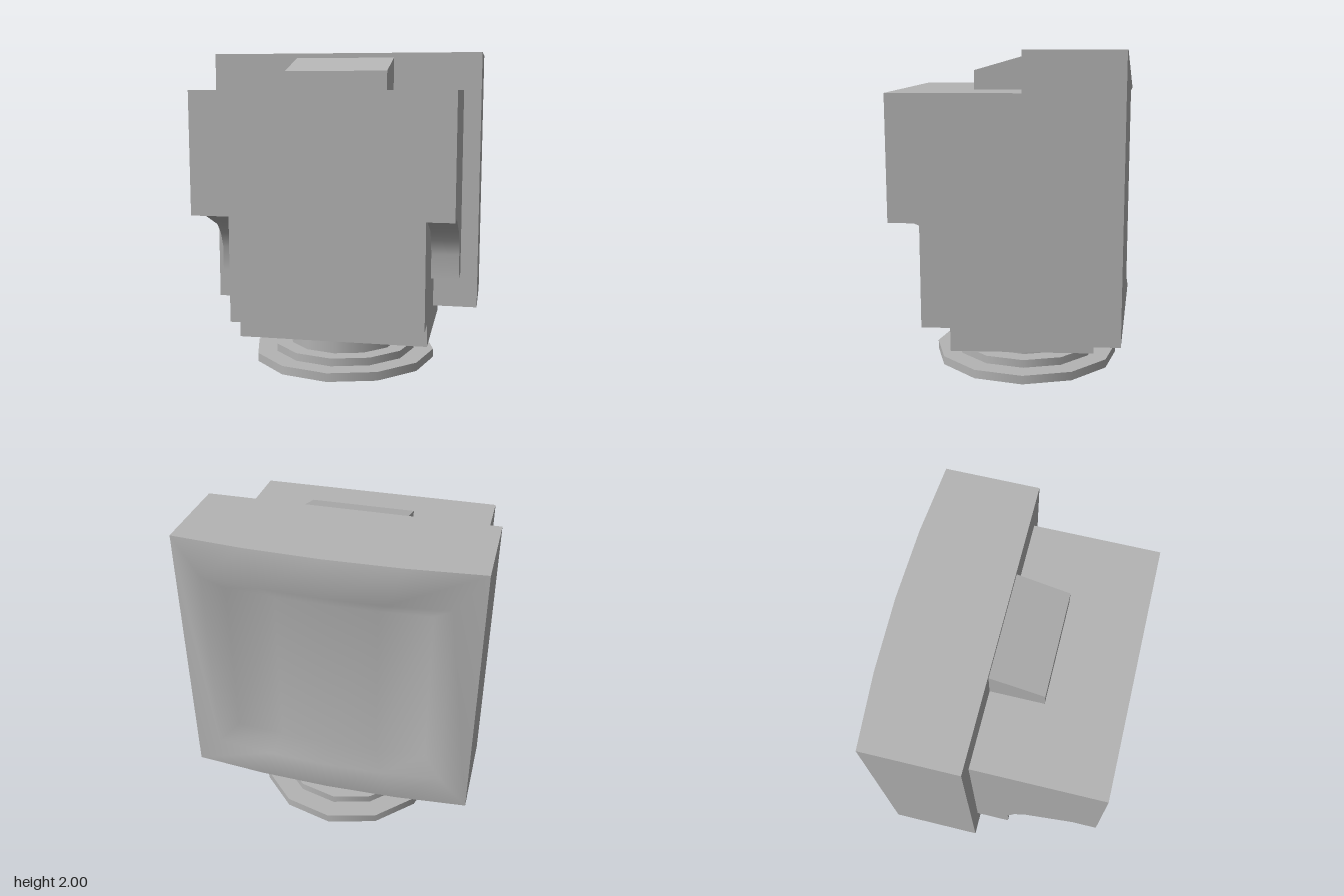
import * as THREE from 'three';
import { toCreasedNormals } from 'three/addons/utils/BufferGeometryUtils.js';

const grey = new THREE.MeshStandardMaterial({ color: 0xb4b4b4 });
grey.name = 'grey';

const COLS = 5; // points along the top and bottom of each ring

function createMesh(name, geometry, x = 0, y = 0, z = 0) {
  const mesh = new THREE.Mesh(geometry, grey);
  mesh.name = name;
  mesh.position.set(x, y, z);
  return mesh;
}

// Box given by its limits on each axis
function block(name, [x0, x1], [y0, y1], [z0, z1]) {
  return createMesh(name, new THREE.BoxGeometry(x1 - x0, y1 - y0, z1 - z0),
    (x0 + x1) / 2, (y0 + y1) / 2, (z0 + z1) / 2);
}

// Side profile of [z, y] points, extruded from x0 to x1
function sideProfile(name, points, x0, x1) {
  const shape = new THREE.Shape(points.map(([z, y]) => new THREE.Vector2(z, y)));
  const geo = new THREE.ExtrudeGeometry(shape, { depth: x1 - x0, bevelEnabled: false });
  geo.rotateY(-Math.PI / 2);
  geo.translate(x1, 0, 0);
  return createMesh(name, toCreasedNormals(geo, 0.6));
}

// Rectangular ring whose top and bottom bow backwards in the middle
function ring(halfWidth, yBottom, yTop, zMiddle, bow) {
  const row = [];
  for (let i = 0; i < COLS; i++) {
    const u = -1 + (2 * i) / (COLS - 1);
    row.push([u * halfWidth, zMiddle + bow * u * u]);
  }
  return [
    ...row.map(([x, z]) => [x, yTop, z]),
    ...row.reverse().map(([x, z]) => [x, yBottom, z]),
  ];
}

// Join successive rings, optionally closing the last one
function loft(rings, closed) {
  const n = COLS * 2;
  const index = [];
  const quad = (a, b, c, d) => index.push(a, b, c, a, c, d);
  for (let r = 0; r < rings.length - 1; r++) {
    for (let i = 0; i < n; i++) {
      const j = (i + 1) % n;
      quad(r * n + i, r * n + j, (r + 1) * n + j, (r + 1) * n + i);
    }
  }
  if (closed) {
    const s = (rings.length - 1) * n;
    for (let i = 0; i < COLS - 1; i++) quad(s + i, s + i + 1, s + n - 2 - i, s + n - 1 - i);
  }
  const geo = new THREE.BufferGeometry();
  geo.setAttribute('position', new THREE.Float32BufferAttribute(rings.flat(2), 3));
  geo.setIndex(index);
  geo.computeVertexNormals();
  return geo;
}

export function createModel() {
  const model = new THREE.Group();
  model.name = 'monitor';

  // Round stepped foot
  const foot = new THREE.Group();
  foot.name = 'foot';
  [['footPlate', 0.6, 0, 0.055], ['footStep', 0.47, 0.055, 0.105], ['swivelNeck', 0.365, 0.105, 0.21]]
    .forEach(([name, r, y0, y1]) => foot.add(
      createMesh(name, new THREE.CylinderGeometry(r, r, y1 - y0, 12), 0, (y0 + y1) / 2, -0.05)));
  model.add(foot);

  // Stand and lower housing
  model.add(block('plinth', [-0.595, 0.595], [0.205, 0.4], [-0.48, 0.385]));
  model.add(block('lowerHousing', [-0.6, 0.595], [0.35, 1.025], [-0.07, 0.56]));

  // Main housing with the scooped underside
  model.add(sideProfile('mainHousing', [
    [-0.06, 0.58], [0.15, 0.58], [0.15, 0.74], [0.19, 0.835], [0.255, 0.905],
    [0.56, 1.03], [0.71, 1.03], [0.71, 1.765], [-0.06, 1.765],
  ], -0.78, 0.77));

  // Sloped block on top
  model.add(sideProfile('topWedge', [
    [-0.06, 1.75], [0.255, 1.75], [0.255, 1.88], [-0.06, 1.97],
  ], -0.32, 0.32));

  // Case walls and flat face behind the housing
  const edge = ring(0.88, 0.35, 2, -0.67, 0.05);
  const wall = loft([ring(0.88, 0.35, 2, -0.06, 0), edge], false);
  model.add(createMesh('caseWalls', toCreasedNormals(wall, 0.4)));
  model.add(createMesh('caseFace', new THREE.PlaneGeometry(1.76, 1.65), 0, 1.175, -0.06));

  // Bowed bezel dipping into the screen
  model.add(createMesh('bezelAndScreen', loft([
    edge,
    ring(0.71, 0.57, 1.78, -0.705, 0.05),
    ring(0.6, 0.67, 1.68, -0.61, 0.03),
  ], true)));

  return model;
}
